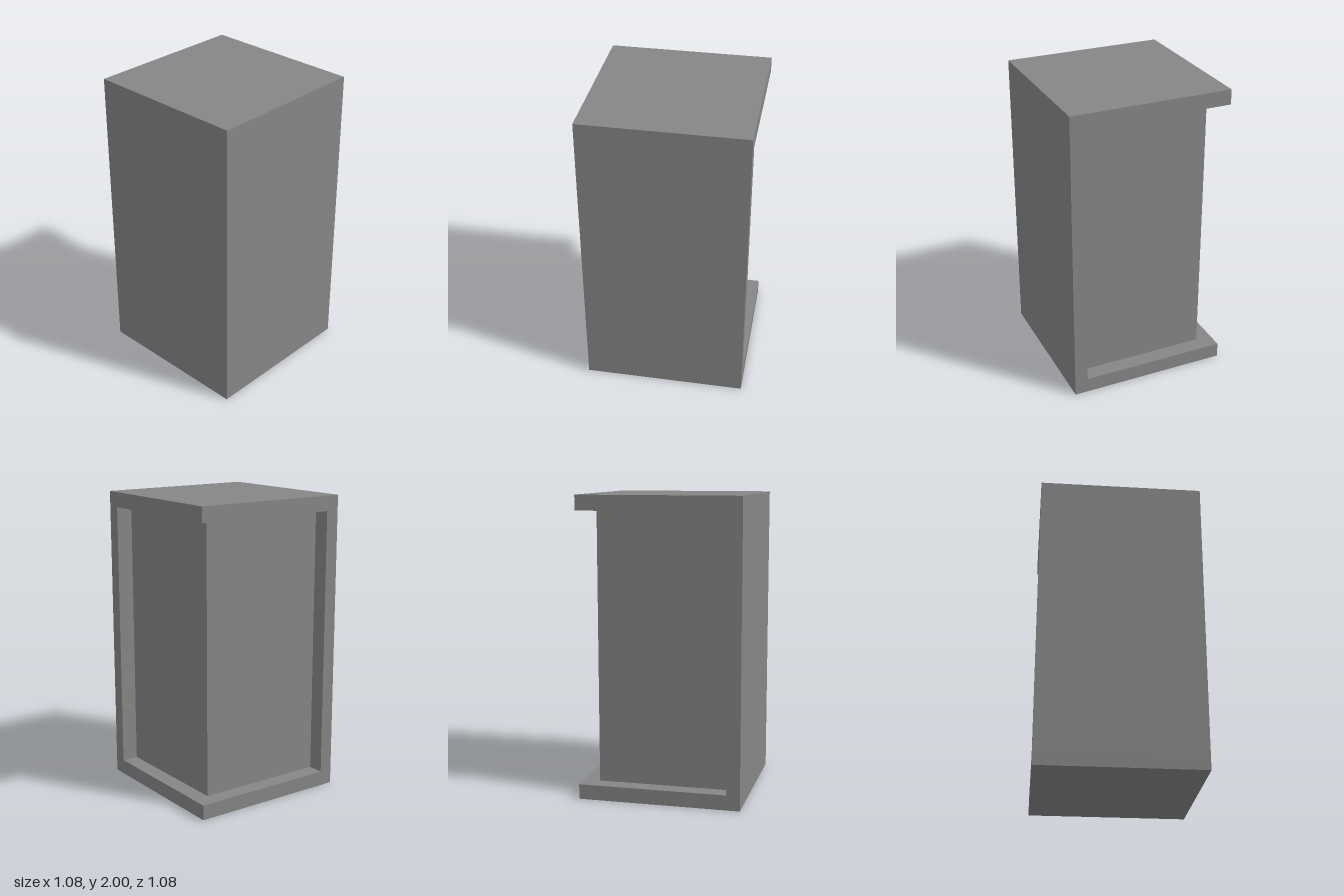
import * as THREE from 'three';

const H = 2;        // height
const R = 0.54;     // half width and depth
const PLATE = 0.1;  // top and bottom thickness
const WALL = 0.09;  // side wall thickness
const INSET = 0.11; // setback of the core on the two open sides

export function createModel() {
  const group = new THREE.Group();
  const material = new THREE.MeshStandardMaterial({ color: 0x868686 });

  // Adds a box spanning two opposite corners
  function addBox(name, min, max) {
    const size = max.map((v, i) => v - min[i]);
    const mesh = new THREE.Mesh(new THREE.BoxGeometry(...size), material);
    mesh.position.set(...max.map((v, i) => (v + min[i]) / 2));
    mesh.name = name;
    group.add(mesh);
  }

  // Full-size plates closing the cabinet above and below
  addBox('bottomPlate', [-R, 0, -R], [R, PLATE, R]);
  addBox('topPlate', [-R, H - PLATE, -R], [R, H, R]);

  // Walls on the front and the +x side
  addBox('frontWall', [-R, PLATE, R - WALL], [R, H - PLATE, R]);
  addBox('sideWall', [R - WALL, PLATE, -R], [R, H - PLATE, R - WALL]);

  // Core set back from the open back and -x side
  addBox('innerCore', [-R + INSET, PLATE, -R + INSET], [R - WALL, H - PLATE, R - WALL]);

  return group;
}
